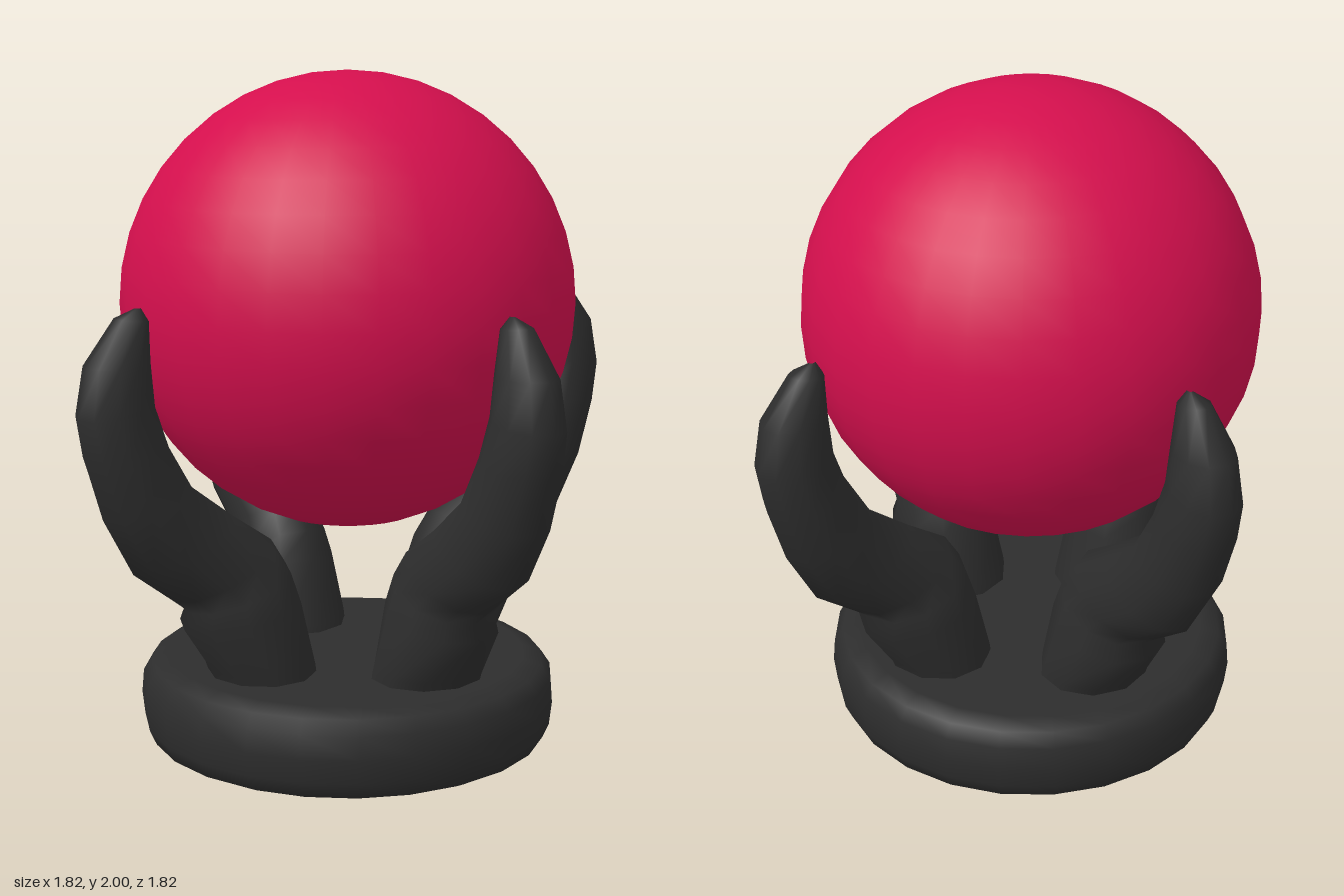
import * as THREE from 'three';

const charcoal = new THREE.MeshStandardMaterial({ color: 0x2d2d2d });
charcoal.name = 'charcoal';
const crimson = new THREE.MeshStandardMaterial({ color: 0xd40f4d });
crimson.name = 'crimson';

// Claw cross-sections: inner radius, inner y, outer radius, outer y, half width
const SECTIONS = [
  [0.17, 0.2, 0.47, 0.2, 0.17],
  [0.18, 0.28, 0.5, 0.28, 0.17],
  [0.22, 0.48, 0.59, 0.42, 0.16],
  [0.25, 0.57, 0.57, 0.47, 0.14],
  [0.3, 0.65, 0.62, 0.51, 0.125],
  [0.43, 0.74, 0.75, 0.61, 0.12],
  [0.56, 0.84, 0.84, 0.78, 0.115],
  [0.64, 0.98, 0.89, 0.95, 0.11],
  [0.68, 1.1, 0.91, 1.07, 0.1],
  [0.69, 1.22, 0.885, 1.21, 0.085],
  [0.69, 1.33, 0.79, 1.34, 0.045],
  [0.71, 1.365, 0.73, 1.365, 0.005],
];

// Lofts rings through the sections; the claw leans outward along +x
function clawGeometry(sides = 10) {
  const positions = [], indices = [];
  SECTIONS.forEach(([ri, yi, ro, yo, w], i) => {
    for (let j = 0; j < sides; j++) {
      const t = (j / sides) * Math.PI * 2;
      const k = (1 + Math.cos(t)) / 2;
      positions.push(ri + (ro - ri) * k, yi + (yo - yi) * k, w * Math.sin(t));
      if (i === SECTIONS.length - 1) continue;
      const a = i * sides + j, b = i * sides + ((j + 1) % sides);
      indices.push(a, a + sides, b, b, a + sides, b + sides);
    }
  });
  const g = new THREE.BufferGeometry();
  g.setAttribute('position', new THREE.Float32BufferAttribute(positions, 3));
  g.setIndex(indices);
  g.computeVertexNormals();
  return g;
}

export function createModel() {
  const group = new THREE.Group();
  const add = (name, geometry, material, x = 0, y = 0, z = 0) => {
    const mesh = new THREE.Mesh(geometry, material);
    mesh.name = name;
    mesh.position.set(x, y, z);
    group.add(mesh);
    return mesh;
  };

  // Rounded disc base
  const profile = [
    [0, 0], [0.57, 0], [0.6, 0.015], [0.62, 0.06], [0.628, 0.13],
    [0.622, 0.2], [0.595, 0.24], [0.54, 0.258], [0, 0.258],
  ].map(([r, y]) => new THREE.Vector2(r, y));
  add('base', new THREE.LatheGeometry(profile, 24), charcoal, -0.01);

  // Glass ball
  add('ball', new THREE.SphereGeometry(0.67, 28, 20), crimson, -0.01, 1.332, 0);

  // Four claws, each slightly off the axis
  const claw = clawGeometry();
  add('leftClaw', claw, charcoal, 0, 0, 0.015);
  add('backClaw', claw, charcoal, 0, 0, 0).rotation.y = Math.PI / 2;
  add('rightClaw', claw, charcoal, 0, 0, 0.035).rotation.y = Math.PI;
  add('frontClaw', claw, charcoal, 0.05, 0, 0).rotation.y = -Math.PI / 2;

  return group;
}
